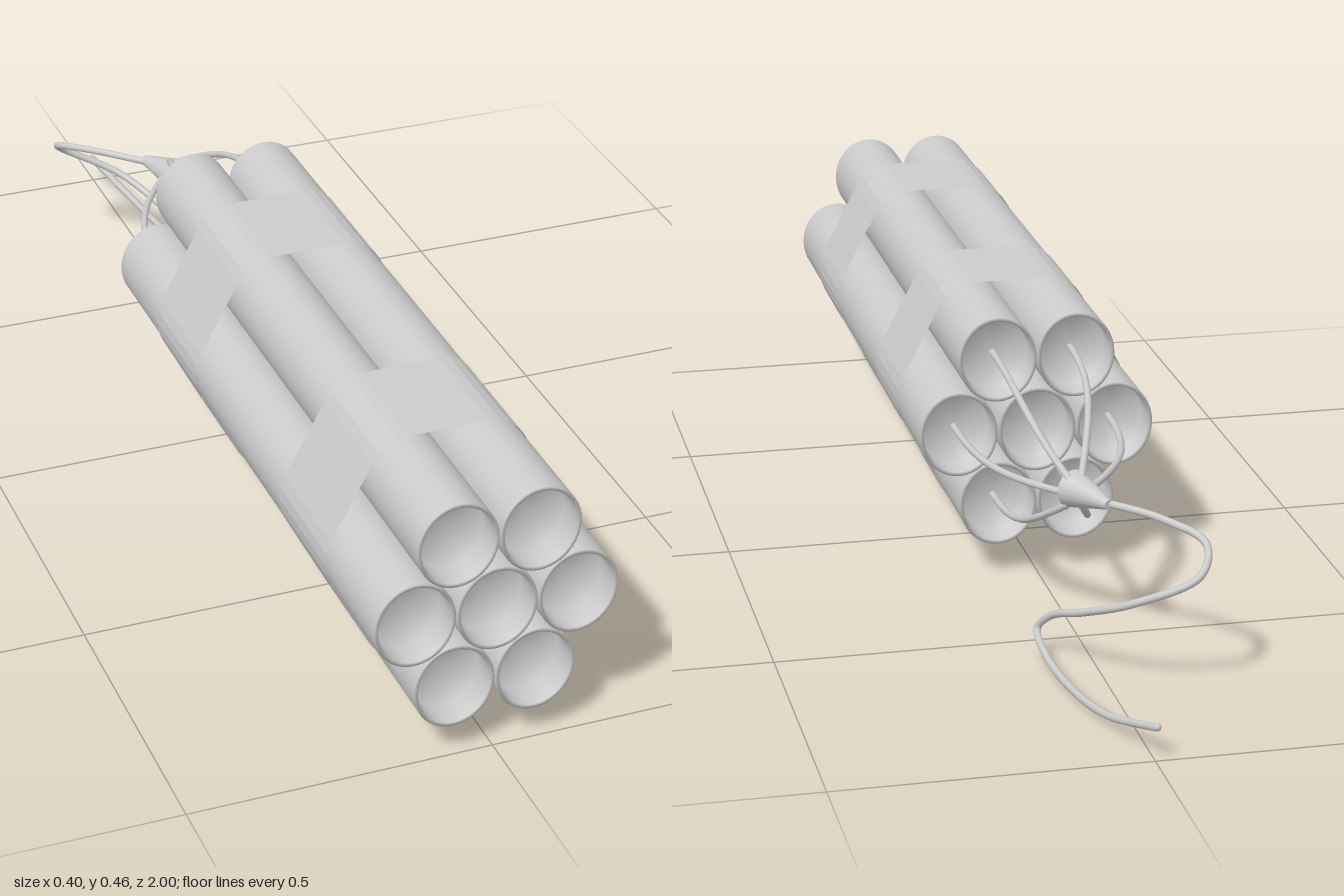
import * as THREE from 'three';

const RX = 0.066, RY = 0.0735;        // oval tube radii
const CY = 0.256;                     // height of the bundle axis
const FRONT = 1, BACK = -0.2, CUP = 0.045;
const V = (x, y, z) => new THREE.Vector3(x, y, z);

const material = new THREE.MeshStandardMaterial({ color: 0xcccccc });
const thin = new THREE.MeshStandardMaterial({ color: 0xcccccc, side: THREE.DoubleSide, flatShading: true });

function add(group, name, geometry, mat = material) {
  const mesh = new THREE.Mesh(geometry, mat);
  mesh.name = name;
  group.add(mesh);
  return mesh;
}

// Paper tube with a recessed cup at each end, turned around z
function tubeGeometry() {
  const profile = [
    [0, BACK + CUP], [0.87, BACK + CUP], [0.91, BACK], [1, BACK],
    [1, 0], [1, 0.2], [1, 0.6], [1, 0.8],
    [1, FRONT], [0.91, FRONT], [0.87, FRONT - CUP], [0, FRONT - CUP],
  ].map(([r, z]) => new THREE.Vector2(r, z));
  const geometry = new THREE.LatheGeometry(profile, 40);
  geometry.rotateX(Math.PI / 2);
  geometry.scale(RX, RY, 1);
  return geometry;
}

// Open band stretched around the six outer tubes
function bandGeometry(z0, z1) {
  const outline = [], steps = 4, r = 1.03;
  for (let i = 0; i < 6; i++) {
    const mid = i * Math.PI / 3;
    for (let j = 0; j <= steps; j++) {
      const a = mid + (j / steps - 0.5) * Math.PI / 3;
      outline.push([
        Math.cos(mid) * 0.134 + Math.cos(a) * RX * r,
        CY + Math.sin(mid) * 0.147 + Math.sin(a) * RY * r,
      ]);
    }
  }
  const positions = [], index = [], n = outline.length;
  outline.forEach(([x, y], i) => {
    positions.push(x, y, z0, x, y, z1);
    const a = 2 * i, b = 2 * ((i + 1) % n);
    index.push(a, b, b + 1, a, b + 1, a + 1);
  });
  const geometry = new THREE.BufferGeometry();
  geometry.setAttribute('position', new THREE.Float32BufferAttribute(positions, 3));
  geometry.setIndex(index);
  geometry.computeVertexNormals();
  return geometry;
}

export function createModel() {
  const model = new THREE.Group();
  model.name = 'tubeBundle';

  // Tube centres: one in the middle, six around it
  const centres = [[0, CY]];
  for (let i = 0; i < 6; i++) {
    const a = i * Math.PI / 3;
    centres.push([Math.cos(a) * 0.134, CY + Math.sin(a) * 0.147]);
  }

  // Tubes, each with a short wire running to the knot
  const tube = tubeGeometry();
  const knotFront = V(0.008, 0.257, -0.495), knotBack = V(-0.03, 0.256, -0.58);
  for (const [x, y] of centres) {
    add(model, 'tube', tube).position.set(x, y, 0);
    const dy = y - CY;
    const wire = new THREE.CubicBezierCurve3(
      V(x, y, BACK + CUP + 0.01), V(x, y, -0.34),
      V(x * 0.75 + 0.012, CY + dy * 0.65, -0.41),
      V(knotFront.x + x * 0.15, knotFront.y + dy * 0.17, -0.51));
    add(model, 'wire', new THREE.TubeGeometry(wire, 24, 0.006, 8));
  }

  // Tape bands
  for (const z of [0, 0.6]) add(model, 'tapeBand', bandGeometry(z, z + 0.2), thin);

  // Conical knot where the wires meet
  const axis = knotBack.clone().sub(knotFront);
  const knot = add(model, 'knot', new THREE.CylinderGeometry(0.008, 0.032, axis.length(), 16));
  knot.position.copy(knotFront).addScaledVector(axis, 0.5);
  knot.quaternion.setFromUnitVectors(V(0, 1, 0), axis.normalize());

  // Long trailing fuse
  const path = new THREE.CatmullRomCurve3([
    V(-0.02, 0.256, -0.56), V(-0.1, 0.252, -0.65), V(-0.15, 0.235, -0.73),
    V(-0.127, 0.2, -0.775), V(-0.03, 0.15, -0.74), V(0.03, 0.107, -0.655),
    V(0.063, 0.073, -0.575), V(0.08, 0.045, -0.553), V(0.079, 0.022, -0.6),
    V(0.066, 0.008, -0.7), V(0.04, 0.017, -0.85), V(-0.004, 0.054, -0.998),
  ]);
  add(model, 'fuse', new THREE.TubeGeometry(path, 120, 0.0065, 8));
  const tip = add(model, 'fuseTip', new THREE.SphereGeometry(0.0065, 8, 6));
  tip.position.copy(path.getPoint(1)).z += 0.004;

  return model;
}
